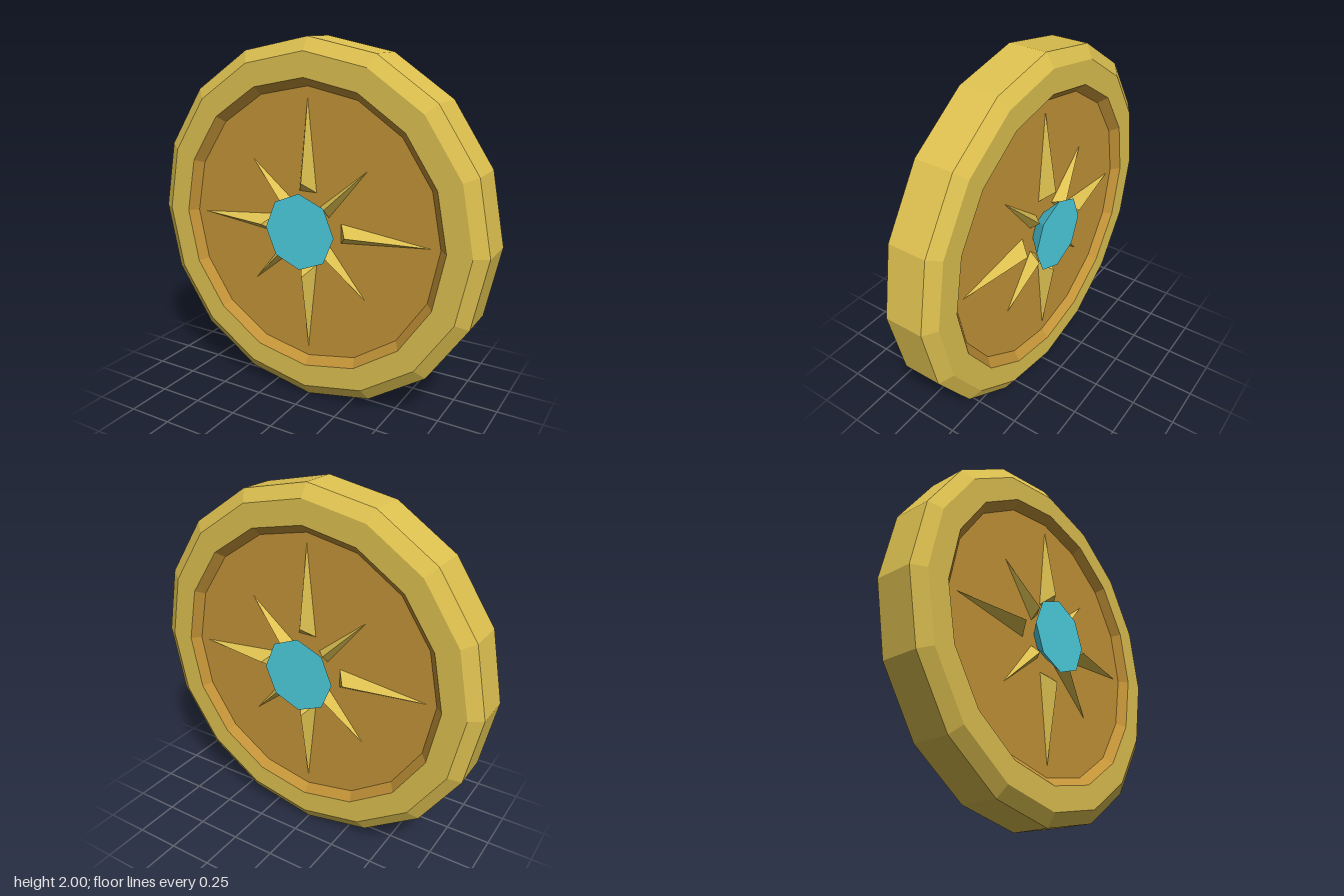
import * as THREE from 'three';

const material = (name, color) => {
  const m = new THREE.MeshStandardMaterial({ color, flatShading: true });
  m.name = name;
  return m;
};

// Faceted solid of revolution around the z axis; profile is [radius, z]
function turned(name, profile, sides, mat) {
  const geo = new THREE.LatheGeometry(profile.map(([r, z]) => new THREE.Vector2(r, z)), sides);
  geo.rotateX(Math.PI / 2);
  const mesh = new THREE.Mesh(geo, mat);
  mesh.name = name;
  return mesh;
}

// Ridged star ray pointing up: two long slopes and a sloped inner end
function rayGeometry(scale, height) {
  const floor = 0.102;
  const tip = [0, 0.72 * scale, floor];
  const peak = [0, 0.26 * scale, floor + height];
  const left = [-0.055 * scale, 0.2 * scale, floor];
  const right = [0.055 * scale, 0.2 * scale, floor];
  const corners = [tip, left, peak, tip, peak, right, peak, left, right];
  const geo = new THREE.BufferGeometry();
  geo.setAttribute('position', new THREE.Float32BufferAttribute(corners.flat(), 3));
  geo.computeVertexNormals();
  return geo;
}

export function createModel() {
  const gold = material('gold', 0xdec150);
  const bronze = material('bronze', 0xc49438);
  const turquoise = material('turquoise', 0x4ed1e2);

  const model = new THREE.Group();
  model.name = 'medallion';
  const body = new THREE.Group();
  body.name = 'coin';
  body.position.y = 1;
  model.add(body);

  // Chamfered outer ring
  body.add(turned('rim', [[0.8, -0.15], [0.93, -0.15], [1, -0.105], [1, 0.105], [0.93, 0.15], [0.8, 0.15]], 16, gold));

  const longRay = rayGeometry(1, 0.076);
  const shortRay = rayGeometry(0.71, 0.064);

  // Both sides carry the same recess, star and gem
  for (const side of ['front', 'back']) {
    const face = new THREE.Group();
    face.name = side + 'Face';
    if (side === 'back') face.rotation.y = Math.PI;

    // Recessed disc with its bevelled wall
    face.add(turned('recess', [[0.8, 0.15], [0.755, 0.105], [0, 0.105]], 16, bronze));

    // Eight-pointed star, long and short rays alternating
    for (let i = 0; i < 8; i++) {
      const ray = new THREE.Mesh(i % 2 ? shortRay : longRay, gold);
      ray.name = i % 2 ? 'shortRay' : 'longRay';
      ray.rotation.z = i * Math.PI / 4;
      face.add(ray);
    }

    // Gem, flaring outward to a flat octagon
    face.add(turned('gem', [[0.1, 0.1], [0.21, 0.2], [0, 0.2]], 8, turquoise));
    body.add(face);
  }
  return model;
}
